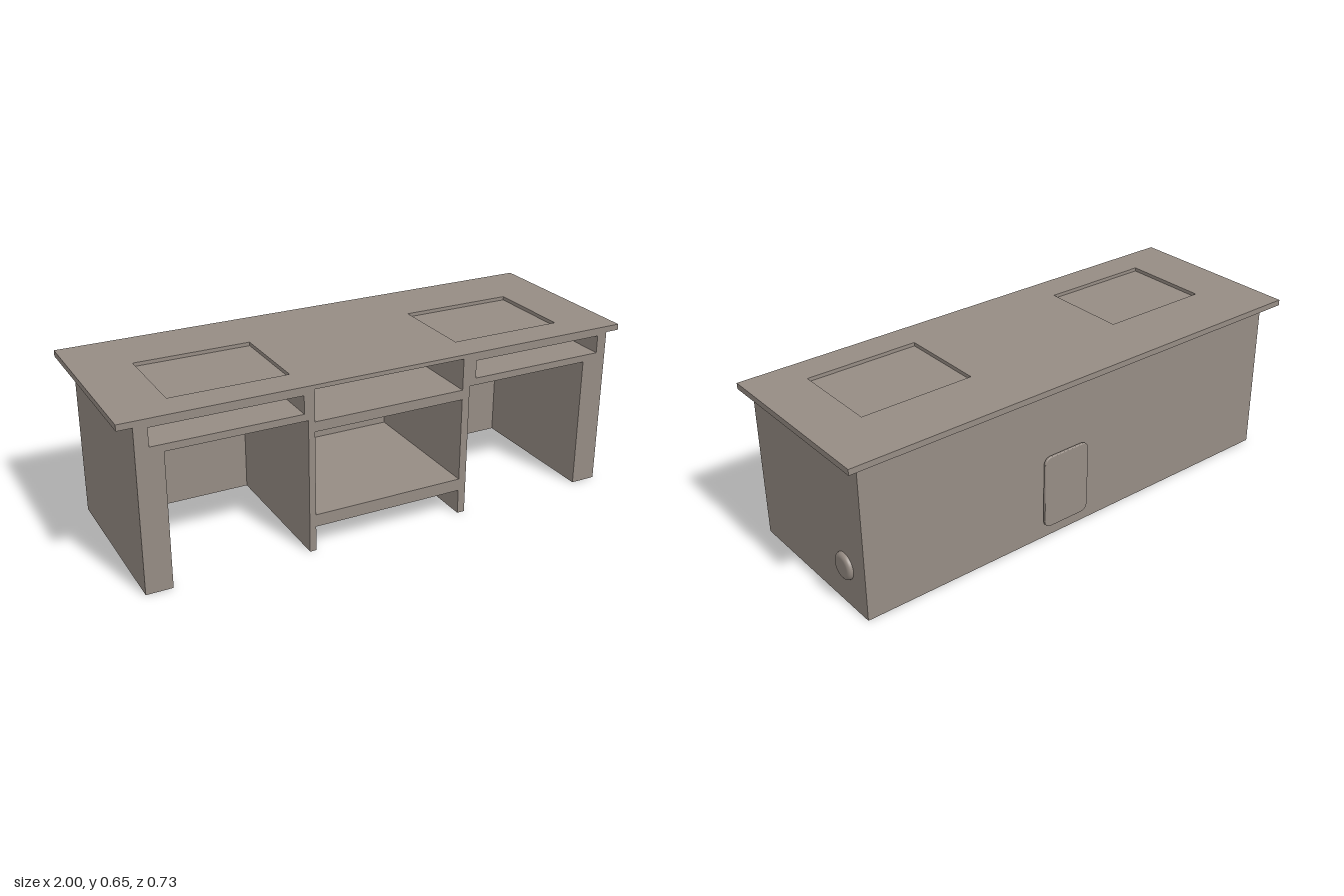
import * as THREE from 'three';

const FRONT = 0.363, BACK = -0.363, WALL_BACK = -0.315, INNER_BACK = -0.215;
const UNDER = 0.625, FLOOR = 0.634, TOP = 0.648;

// Closed rectangle path, used for holes
function rect(x0, y0, x1, y1) {
  return new THREE.Path([[x0, y0], [x1, y0], [x1, y1], [x0, y1]].map(p => new THREE.Vector2(...p)));
}

// Rectangle with rounded corners, centred on the origin
function roundedRect(w, h, r) {
  const s = new THREE.Shape(), x = w / 2 - r, y = h / 2 - r;
  s.absarc(x, y, r, 0, Math.PI / 2);
  s.absarc(-x, y, r, Math.PI / 2, Math.PI);
  s.absarc(-x, -y, r, Math.PI, Math.PI * 1.5);
  s.absarc(x, -y, r, Math.PI * 1.5, Math.PI * 2);
  s.closePath();
  return s;
}

export function createModel() {
  const group = new THREE.Group();
  group.name = 'desk';
  const taupe = new THREE.MeshStandardMaterial({ color: 0x968c84 });
  taupe.name = 'taupe';

  const add = (name, geometry, x = 0, y = 0, z = 0) => {
    const mesh = new THREE.Mesh(geometry, taupe);
    mesh.name = name;
    mesh.position.set(x, y, z);
    group.add(mesh);
    return mesh;
  };
  const box = (name, x0, x1, y0, y1, z0, z1) => add(name,
    new THREE.BoxGeometry(x1 - x0, y1 - y0, z1 - z0), (x0 + x1) / 2, (y0 + y1) / 2, (z0 + z1) / 2);

  // Carcass: side walls, dividers and shelves, with two kneeholes open at the floor
  const outline = [[-0.945, 0]];
  for (const [x0, x1, h] of [[-0.845, -0.325, 0.52], [-0.3, 0.3, 0.097], [0.33, 0.845, 0.52]])
    outline.push([x0, 0], [x0, h], [x1, h], [x1, 0]);
  outline.push([0.945, 0], [0.945, UNDER], [1, UNDER], [1, FLOOR], [-1, FLOOR], [-1, UNDER], [-0.945, UNDER]);
  const carcass = new THREE.Shape(outline.map(p => new THREE.Vector2(...p)));
  carcass.holes.push(
    rect(-0.895, 0.547, -0.34, 0.616), // drawer slots
    rect(0.355, 0.547, 0.905, 0.616),
    rect(-0.3, 0.51, 0.3, 0.632), // central tray
    rect(-0.3, 0.145, 0.3, 0.472) // central compartment
  );
  add('carcass', new THREE.ExtrudeGeometry(carcass, { depth: FRONT - INNER_BACK, bevelEnabled: false }), 0, 0, INNER_BACK);

  // Back wall and the overhang of the top behind it
  box('backWall', -0.945, 0.945, 0, UNDER, WALL_BACK, INNER_BACK);
  box('backOverhang', -1, 1, UNDER, FLOOR, BACK, INNER_BACK);

  // Desktop with two shallow rectangular recesses
  const recesses = [[-0.785, -0.335], [0.342, 0.793]];
  const z0 = -0.112, z1 = 0.237, slope = 0.009;
  const desktop = new THREE.Shape(rect(-1, -FRONT, 1, -BACK).getPoints());
  for (const [x0, x1] of recesses) desktop.holes.push(rect(x0, -z1, x1, -z0));
  const slab = new THREE.ExtrudeGeometry(desktop, { depth: TOP - FLOOR, bevelEnabled: false });
  add('desktop', slab.rotateX(-Math.PI / 2), 0, FLOOR, 0);

  // Sloping rims of the recesses
  for (const [x0, x1] of recesses) {
    const ring = (d, y) => [[x0 + d, y, z0 + d], [x0 + d, y, z1 - d], [x1 - d, y, z1 - d], [x1 - d, y, z0 + d]];
    const high = ring(0, TOP), low = ring(slope, FLOOR), points = [];
    for (let i = 0; i < 4; i++) {
      const j = (i + 1) % 4;
      points.push(...high[i], ...low[i], ...low[j], ...high[i], ...low[j], ...high[j]);
    }
    const rim = new THREE.BufferGeometry();
    rim.setAttribute('position', new THREE.Float32BufferAttribute(points, 3));
    rim.computeVertexNormals();
    add('recessRim', rim);
  }

  // Rounded button on the left side wall
  const profile = [[0, 0.017], [0.034, 0.017], [0.042, 0.0155], [0.048, 0.012], [0.051, 0.007], [0.052, 0]]
    .map(p => new THREE.Vector2(...p)).reverse();
  add('sideButton', new THREE.LatheGeometry(profile, 40), 0.945, 0.16, -0.19).rotation.z = -Math.PI / 2;

  // Softly edged plate standing just off the back wall
  const plate = new THREE.ExtrudeGeometry(roundedRect(0.198, 0.292, 0.026), {
    depth: 0.004, bevelThickness: 0.004, bevelSize: 0.004, bevelSegments: 4, curveSegments: 8
  });
  add('backPlate', plate, 0.08, 0.2, -0.329);

  return group;
}
